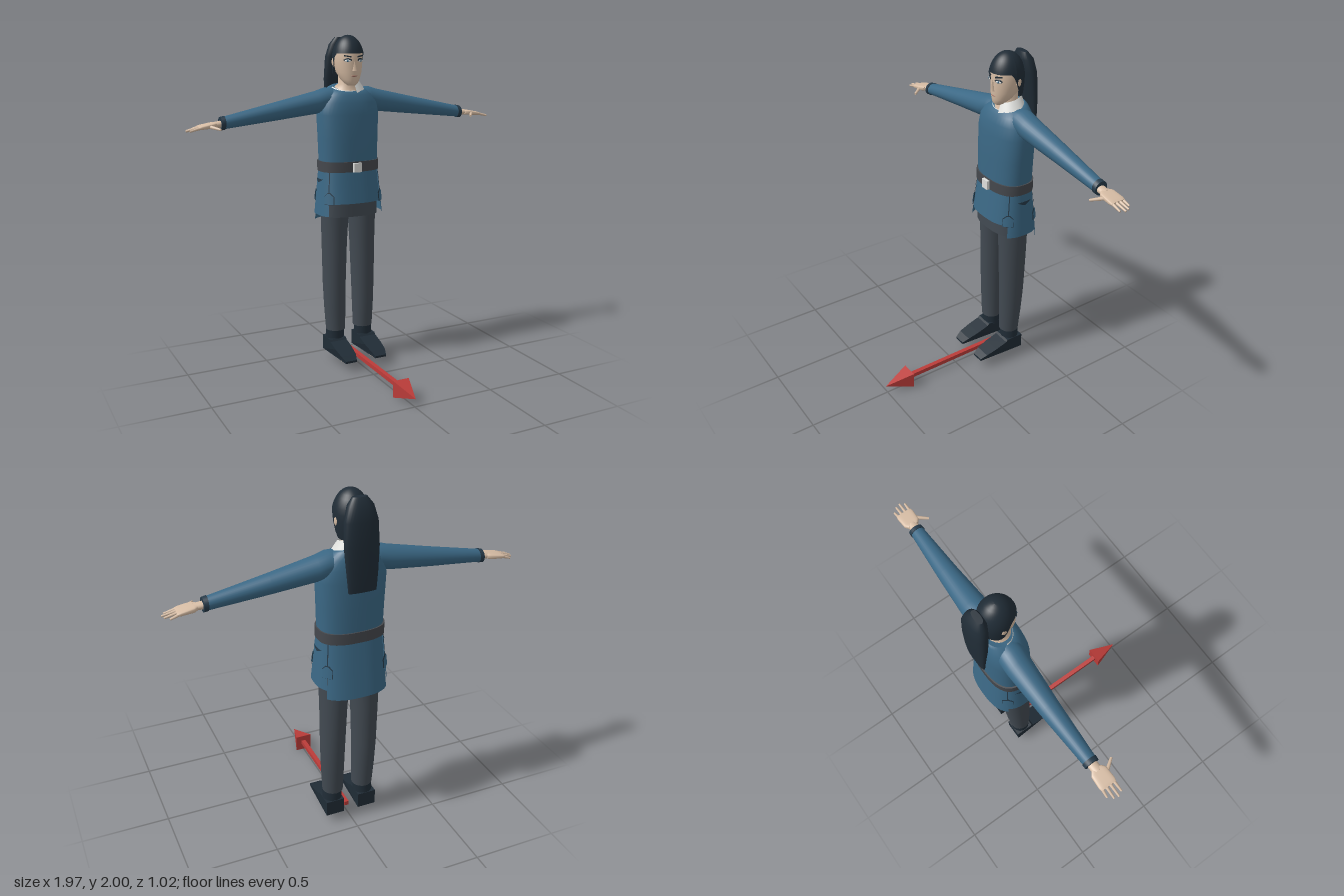
import * as THREE from 'three';

const mat = (name, color, side = THREE.FrontSide) => {
  const m = new THREE.MeshStandardMaterial({ color, side });
  m.name = name;
  return m;
};
const Z0 = -0.345; // depth of the body's axis
const rad = THREE.MathUtils.degToRad;
const pw = (v, e) => Math.sign(v) * Math.abs(v) ** (2 / e);

function build(pos, idx) {
  const g = new THREE.BufferGeometry();
  g.setAttribute('position', new THREE.Float32BufferAttribute(pos, 3));
  g.setIndex(idx);
  g.computeVertexNormals();
  return g;
}

// Closed tube through rings [along, c1, c2, r1, r2, tilt]; axis y: c = x,z; axis x: c = y,z
function loft(rings, { axis = 'y', e = 2, n = 28 } = {}) {
  const pos = [], idx = [];
  const put = ([a, c1, c2, r1, r2, tilt = 0], t, k = 1) => {
    const p = r1 * k * pw(Math.cos(t), e), q = r2 * k * pw(Math.sin(t), e);
    if (axis === 'y') pos.push(c1 + p, a + tilt * Math.sin(t) * k, c2 + q);
    else pos.push(a, c1 + p, c2 - q);
  };
  rings.forEach((r, i) => {
    for (let j = 0; j < n; j++) {
      put(r, (j / n) * Math.PI * 2);
      if (i === rings.length - 1) continue;
      const a = i * n + j, b = i * n + ((j + 1) % n);
      idx.push(a, a + n, b, b, a + n, b + n);
    }
  });
  for (const end of [0, 1]) {
    const r = rings[end ? rings.length - 1 : 0], s = pos.length / 3;
    for (let j = 0; j < n; j++) put(r, (j / n) * Math.PI * 2);
    put(r, 0, 0);
    for (let j = 0; j < n; j++) {
      const a = s + j, b = s + ((j + 1) % n);
      end ? idx.push(b, a, s + n) : idx.push(a, b, s + n);
    }
  }
  return build(pos, idx);
}

// Open patch from fn(u, v): u runs round the body, v runs upward
function patch(fn, nu = 16, nv = 5) {
  const pos = [], idx = [], w = nu + 1;
  for (let i = 0; i <= nv; i++) for (let j = 0; j <= nu; j++) pos.push(...fn(j / nu, i / nv));
  for (let i = 0; i < nv; i++) for (let j = 0; j < nu; j++) {
    const a = i * w + j;
    idx.push(a, a + w, a + 1, a + 1, a + w, a + w + 1);
  }
  return build(pos, idx);
}

// Point on the flared skirt at angle t (degrees, front = 90)
function skirt(t, y, off = 0) {
  const k = (1.2 - y) / 0.3, a = rad(t);
  return [(0.18 + 0.025 * k + off) * pw(Math.cos(a), 2.6), y, Z0 + (0.12 + 0.04 * k + off) * pw(Math.sin(a), 2.6)];
}
const panel = (t0, t1, bottom, top = 1.21, off = 0) =>
  patch((u, v) => skirt(t0 + (t1 - t0) * u, bottom + (top - bottom) * v, off), 18, 5);

function mirror(geo) {
  const g = geo.clone();
  if (!g.index) g.setIndex([...Array(g.attributes.position.count).keys()]);
  g.scale(-1, 1, 1);
  const a = g.index.array;
  for (let i = 0; i < a.length; i += 3) [a[i], a[i + 1]] = [a[i + 1], a[i]];
  return g;
}

function rod(a, b, r) {
  const p = new THREE.Vector3(...a), d = new THREE.Vector3(...b).sub(p);
  const g = new THREE.CylinderGeometry(r * 0.6, r, d.length(), 8);
  g.applyQuaternion(new THREE.Quaternion().setFromUnitVectors(new THREE.Vector3(0, 1, 0), d.clone().normalize()));
  return g.translate(...p.addScaledVector(d, 0.5).toArray());
}
const ball = (x, y, z, a, b, c) => new THREE.SphereGeometry(1, 16, 10).scale(a, b, c).translate(x, y, z);
const box = (x, y, z, a, b, c) => new THREE.BoxGeometry(a, b, c).translate(x, y, z);

export function createModel() {
  const D = THREE.DoubleSide;
  const blue = mat('tunicBlue', 0x3b6885, D), navy = mat('trimNavy', 0x263a49, D), grey = mat('beltGrey', 0x45484d),
    slate = mat('trouserSlate', 0x424a52), dark = mat('hairDark', 0x202c36, D), skin = mat('skin', 0xd6bca4),
    white = mat('white', 0xdedfdc, D), red = mat('arrowRed', 0xbb3c39), lip = mat('lips', 0xa9786a);
  const model = new THREE.Group();
  const add = (name, geo, m) => {
    const mesh = new THREE.Mesh(geo, m);
    mesh.name = name;
    model.add(mesh);
  };
  const pair = (name, geo, m) => {
    add(name + 'Left', geo, m);
    add(name + 'Right', mirror(geo), m);
  };

  // Direction arrow on the ground
  add('arrowShaft', box(0, 0.053, 0.0, 0.026, 0.026, 0.69), red);
  const tip = new THREE.ConeGeometry(0.05 * Math.SQRT2, 0.17, 4).toNonIndexed();
  tip.rotateY(Math.PI / 4).rotateX(Math.PI / 2).translate(0, 0.05, 0.425);
  tip.computeVertexNormals();
  add('arrowHead', tip, red);

  // Trousers
  add('hips', loft([[0.93, 0, Z0, 0.178, 0.118], [1.2, 0, Z0, 0.172, 0.115]], { e: 2.6 }), slate);
  pair('leg', loft([[0.2, 0.093, -0.345, 0.06, 0.06], [0.35, 0.096, -0.348, 0.066, 0.069], [0.5, 0.097, -0.35, 0.07, 0.077],
    [0.75, 0.094, -0.35, 0.076, 0.085], [0.96, 0.09, -0.347, 0.085, 0.091]]), slate);

  // Shoes: side profile extruded across, narrowed at the toe
  const profile = [[-0.405, 0.055], [-0.1, 0.055], [-0.1, 0.068], [-0.14, 0.09], [-0.21, 0.112], [-0.285, 0.135], [-0.295, 0.147], [-0.405, 0.147]];
  const shoe = new THREE.ExtrudeGeometry(new THREE.Shape(profile.map(p => new THREE.Vector2(...p))), { depth: 0.11, bevelEnabled: false });
  shoe.translate(0, 0, -0.055).rotateY(-Math.PI / 2);
  const sp = shoe.attributes.position;
  for (let i = 0; i < sp.count; i++) {
    const k = 1 - 0.35 * THREE.MathUtils.smoothstep(sp.getZ(i), -0.17, -0.09);
    sp.setX(i, sp.getX(i) * k + 0.1);
  }
  shoe.computeVertexNormals();
  pair('shoe', shoe, dark);
  pair('ankle', loft([[0.13, 0.097, -0.348, 0.057, 0.055], [0.205, 0.096, -0.347, 0.055, 0.053]]), dark);
  pair('solePatch', box(0.1, 0.054, -0.2, 0.075, 0.006, 0.12), skin);

  // Tunic body and belt
  add('torso', loft([[1.2, 0, Z0, 0.178, 0.12], [1.4, 0, Z0, 0.184, 0.122], [1.54, 0, -0.347, 0.19, 0.12], [1.61, 0, -0.35, 0.18, 0.113],
    [1.66, 0, -0.355, 0.15, 0.1, -0.005], [1.69, 0, -0.357, 0.115, 0.085, -0.015], [1.695, 0, -0.357, 0.095, 0.075, -0.02]], { e: 2.5, n: 40 }), blue);
  add('belt', loft([[1.203, 0, Z0, 0.187, 0.127], [1.265, 0, Z0, 0.187, 0.127]], { e: 2.6, n: 40 }), grey);
  add('buckle', box(0, 1.23, -0.212, 0.05, 0.055, 0.022), white);

  // Skirt panels with slits, tabs and side pockets
  add('skirtFront', panel(35, 145, 1.015), blue);
  add('skirtBack', panel(215, 325, 0.888), blue);
  pair('skirtSide', panel(-35, 35, 0.94, 1.21, 0.003), blue);
  for (const [label, t] of [['front', 35], ['back', -35]]) {
    pair(label + 'Slit', panel(t - 1.3, t + 1.3, 1.07, 1.205, 0.006), navy);
    for (const [part, grow, off, m] of [['TabEdge', 1.2, 0.006, navy], ['Tab', 0, 0.01, blue]]) {
      pair(label + part, patch((u, v) => {
        const w = grow + (v > 0.7 ? 12 - 30 * (v - 0.7) : 12);
        return skirt(t + (u * 2 - 1) * w, 1.015 - grow * 0.003 + v * (0.065 + grow * 0.006), off);
      }, 8, 10), m);
    }
  }
  pair('pocket', patch((u, v) => skirt(-17 + 31 * u, 1.158 - (1 - v) * 0.022 * (1 - Math.abs(2 * u - 1)), 0.007), 10, 1), navy);

  // Sleeves, cuffs and hands
  pair('sleeve', loft([[0.09, 1.632, -0.355, 0.062, 0.07], [0.14, 1.63, -0.357, 0.068, 0.074], [0.2, 1.612, -0.358, 0.067, 0.072],
    [0.45, 1.571, -0.355, 0.053, 0.056], [0.77, 1.52, -0.345, 0.035, 0.037]], { axis: 'x' }), blue);
  pair('cuff', loft([[0.762, 1.521, -0.345, 0.039, 0.041], [0.786, 1.517, -0.345, 0.038, 0.04]], { axis: 'x' }), navy);
  pair('wrist', loft([[0.78, 1.515, -0.343, 0.02, 0.027], [0.83, 1.511, -0.341, 0.017, 0.027]], { axis: 'x' }), skin);
  pair('palm', loft([[0.815, 1.512, -0.34, 0.014, 0.03], [0.835, 1.511, -0.34, 0.016, 0.045], [0.9, 1.503, -0.34, 0.012, 0.048],
    [0.918, 1.5, -0.34, 0.008, 0.044]], { axis: 'x', e: 3.5 }), skin);
  [[-0.375, 0.955], [-0.352, 0.978], [-0.329, 0.985], [-0.306, 0.97]].forEach(([z, x], i) =>
    pair('finger' + (i + 1), rod([0.905, 1.502, z], [x, 1.486, z * 1.1 + 0.034], 0.009), skin));
  pair('thumb', rod([0.855, 1.506, -0.305], [0.812, 1.494, -0.245], 0.011), skin);

  // Neck and collar
  add('neck', loft([[1.66, 0, -0.352, 0.1, 0.082, -0.01], [1.695, 0, -0.352, 0.075, 0.068, -0.012], [1.715, 0, -0.35, 0.054, 0.056], [1.79, 0, -0.35, 0.05, 0.054]]), skin);
  add('collar', patch((u, v) => {
    const t = rad(-70 + 150 * u), lift = 0.085 - 0.03 * u;
    return [(0.112 - 0.047 * v) * Math.cos(t) + 0.006, 1.675 - 0.012 * u + lift * v, -0.352 + (0.09 - 0.025 * v) * Math.sin(t)];
  }, 16, 4), white);
  add('neckTrim', patch((u, v) => {
    const t = rad(80 + 100 * u), k = 1 - 0.08 * v;
    return [0.104 * k * Math.cos(t), 1.69 - 0.024 * Math.sin(t) + 0.012 * v, -0.354 + 0.084 * k * Math.sin(t)];
  }, 14, 1), white);

  // Head and face
  add('head', loft([[1.708, 0, -0.287, 0.02, 0.022], [1.72, 0, -0.292, 0.037, 0.04], [1.745, 0, -0.308, 0.056, 0.06], [1.785, 0, -0.327, 0.074, 0.084],
    [1.84, 0, -0.335, 0.083, 0.091], [1.9, 0, -0.335, 0.085, 0.092], [1.95, 0, -0.335, 0.07, 0.075]]), skin);
  const nose = new THREE.ConeGeometry(0.015, 0.065, 4).scale(1, 1, 1.1).translate(0, 1.826, -0.243);
  add('nose', nose, skin);
  add('mouth', ball(0, 1.765, -0.251, 0.021, 0.006, 0.007), lip);
  const faceTilt = g => g.rotateY(0.45).translate(0.04, 0, -0.252);
  pair('lashes', faceTilt(ball(0, 1.857, 0, 0.024, 0.011, 0.004)), dark);
  pair('eye', faceTilt(ball(0, 1.853, 0.001, 0.019, 0.008, 0.005)), white);
  pair('iris', faceTilt(ball(0, 1.853, 0.003, 0.007, 0.007, 0.004)), blue);
  pair('brow', faceTilt(box(0, 0, 0, 0.042, 0.007, 0.008).rotateZ(0.15).translate(0, 1.879, 0)), dark);
  pair('ear', ball(0.086, 1.845, -0.352, 0.009, 0.028, 0.017), skin);

  // Hair cap: low at the nape, high at the brow
  add('hairCap', patch((u, v) => {
    const t = u * Math.PI * 2, s = Math.sin(t);
    const low = 1.755 + 0.14 * THREE.MathUtils.smoothstep(s, -0.45, 0.35);
    const a = Math.asin(THREE.MathUtils.clamp((low - 1.86) / 0.14, -0.75, 1));
    const phi = a + (Math.PI / 2 - a) * v, r = phi > 0 ? Math.cos(phi) : 1 - 0.14 * Math.sin(phi) ** 2;
    return [0.094 * r * Math.cos(t), 1.86 + 0.14 * Math.sin(phi), -0.335 + 0.102 * r * s];
  }, 36, 12), dark);
  add('ponytail', loft([[1.505, 0, -0.49, 0.078, 0.014], [1.6, 0, -0.485, 0.086, 0.022], [1.74, 0, -0.472, 0.095, 0.034],
    [1.87, 0, -0.458, 0.09, 0.043], [1.945, 0, -0.445, 0.07, 0.04], [1.985, 0, -0.435, 0.04, 0.018]], { e: 2.4 }), dark);
  return model;
}
